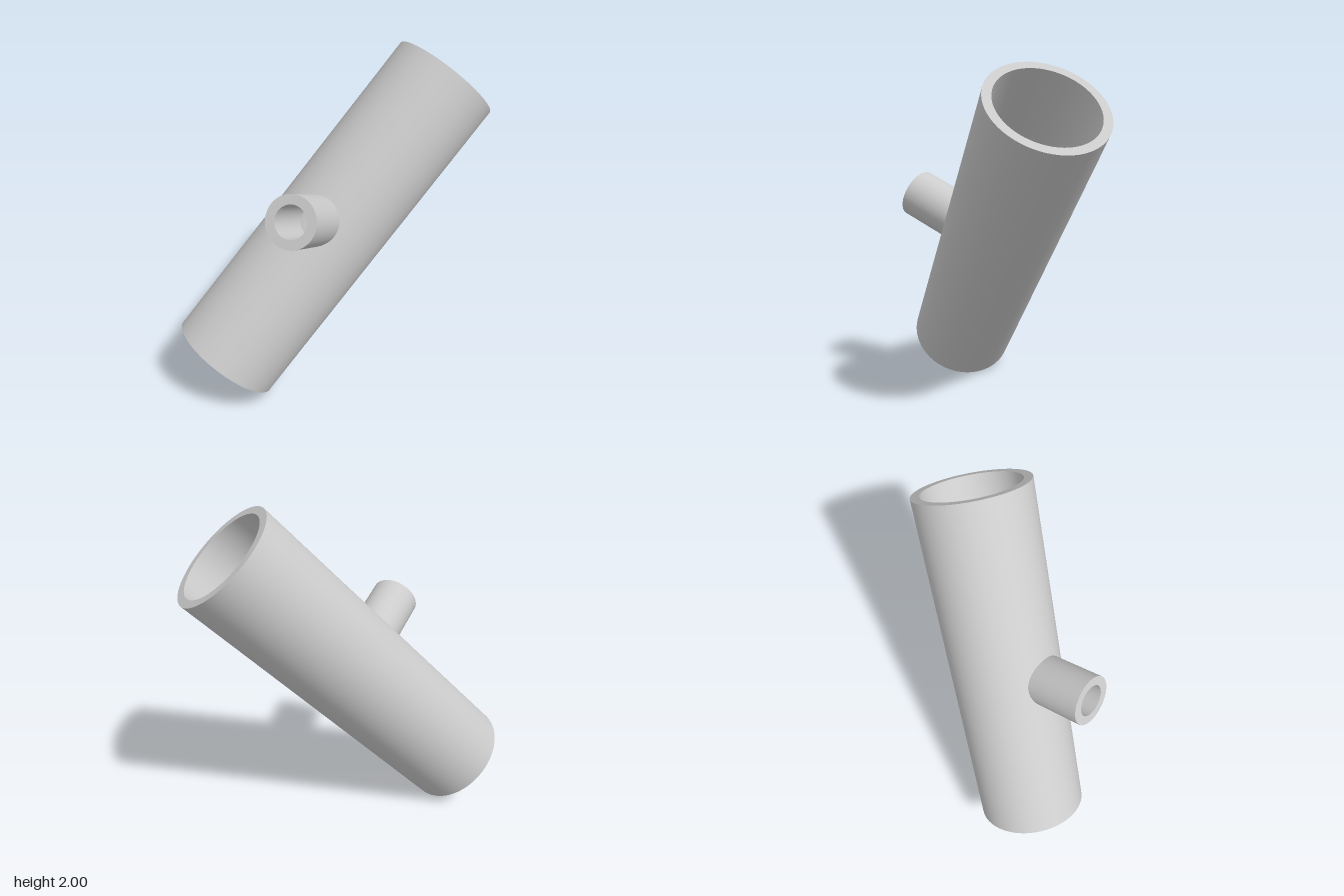
import * as THREE from 'three';
import { ParametricGeometry } from 'three/addons/geometries/ParametricGeometry.js';

// Main pipe runs along local y; the branch leans in the local yz plane.
const LENGTH = 2.117, OUTER = 0.333, INNER = 0.283;
const BRANCH_OUTER = 0.147, BRANCH_INNER = 0.0925, BRANCH_LENGTH = 0.628;
const AXIS = new THREE.Vector3(0.491, 0.727, -0.479).normalize();
const BRANCH = new THREE.Vector3(-0.075, 0.404, 0.912).normalize();
const COS = AXIS.dot(BRANCH), SIN = Math.sqrt(1 - COS * COS);

// Point on a branch cylinder of radius r, at distance t along the branch
const branchPoint = (r, phi, t, target) => target.set(
  r * Math.cos(phi),
  SIN * r * Math.sin(phi) + COS * t,
  -COS * r * Math.sin(phi) + SIN * t
);

// Distance along the branch at which that cylinder meets a pipe of radius R
function meet(R, r, phi) {
  const x = r * Math.cos(phi);
  return (Math.sqrt(R * R - x * x) + COS * r * Math.sin(phi)) / SIN;
}

// Pipe wall: an unrolled rectangle with a saddle-shaped hole, bent round the axis
function pipeWall(R, r, inward) {
  const corners = [[1, -1], [1, 1], [-1, 1], [-1, -1], [1, -1]];
  const hole = new THREE.Vector3();
  return new ParametricGeometry((u, v, target) => {
    const side = Math.floor(u * 4) % 4, f = (u * 4) % 1;
    const [ax, ay] = corners[side], [bx, by] = corners[side + 1];
    const ex = ax + (bx - ax) * f, ey = ay + (by - ay) * f;
    const phi = Math.atan2(ey, ex);
    branchPoint(r, phi, meet(R, r, phi), hole);
    const k = inward ? v : 1 - v;
    const theta = THREE.MathUtils.lerp(Math.atan2(hole.x, hole.z), ex * Math.PI, k);
    const y = THREE.MathUtils.lerp(hole.y, ey * LENGTH / 2, k);
    target.set(R * Math.sin(theta), y, R * Math.cos(theta));
  }, 256, 32);
}

// Branch wall from the saddle joint with the pipe out to the flat tip
function branchWall(R, r, inward) {
  return new ParametricGeometry((u, v, target) => {
    const phi = u * Math.PI * 2;
    const t = THREE.MathUtils.lerp(meet(R, r, phi), BRANCH_LENGTH, inward ? 1 - v : v);
    branchPoint(r, phi, t, target);
  }, 64, 6);
}

export function createModel() {
  const group = new THREE.Group();
  group.name = 'branchedPipe';
  const material = new THREE.MeshStandardMaterial({ color: 0xcccccc, side: THREE.DoubleSide });
  const add = (name, geometry) => {
    const mesh = new THREE.Mesh(geometry, material);
    mesh.name = name;
    group.add(mesh);
    return mesh;
  };

  // Main pipe
  add('pipeOuterWall', pipeWall(OUTER, BRANCH_OUTER, false));
  add('pipeInnerWall', pipeWall(INNER, BRANCH_INNER, true));
  for (const s of [1, -1]) {
    const rim = add(s > 0 ? 'pipeTopRim' : 'pipeBottomRim', new THREE.RingGeometry(INNER, OUTER, 64));
    rim.rotation.x = -s * Math.PI / 2;
    rim.position.y = s * LENGTH / 2;
  }

  // Branch
  add('branchOuterWall', branchWall(OUTER, BRANCH_OUTER, false));
  add('branchBore', branchWall(INNER, BRANCH_INNER, true));
  const tip = add('branchRim', new THREE.RingGeometry(BRANCH_INNER, BRANCH_OUTER, 64));
  tip.rotation.x = Math.atan2(-COS, SIN);
  tip.position.set(0, COS, SIN).multiplyScalar(BRANCH_LENGTH);

  // Lean the whole fitting
  const z = BRANCH.clone().addScaledVector(AXIS, -COS).normalize();
  const x = new THREE.Vector3().crossVectors(AXIS, z);
  group.quaternion.setFromRotationMatrix(new THREE.Matrix4().makeBasis(x, AXIS, z));
  group.position.y = 1;
  return group;
}
